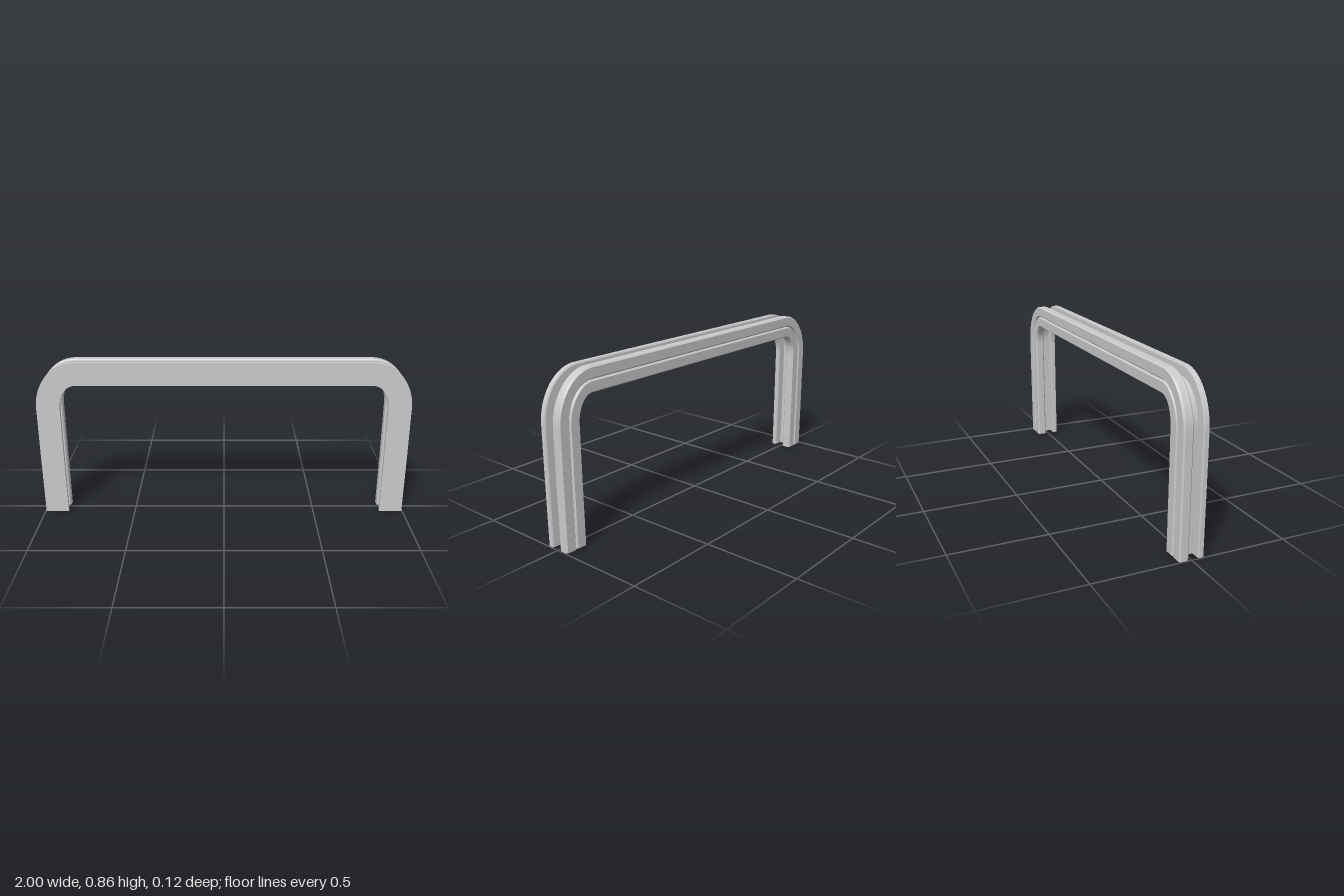
import * as THREE from 'three';

// Half cross-section: [offset from centreline, z], running front -> back.
const HALF = [
  [0.0625, 0.0625], [0.0625, 0.041], [0.056, 0.037], [0.0125, 0.035],
  [0.0125, -0.004], [0.018, -0.0125], [0.056, -0.0125], [0.0625, -0.019],
  [0.0625, -0.055], [0.056, -0.0625], [0.008, -0.0625], [0, -0.054],
];

// Closed section: outer half, then the mirrored inner half.
function section() {
  const inner = HALF.slice(0, -1).reverse().map(([o, z]) => [-o, z]);
  return [...HALF, ...inner];
}

// Stations along the arch: centre point (x, y) and outward direction (nx, ny).
function stations(steps = 14) {
  const right = [
    { x: 0.9335, y: 0, nx: 1, ny: 0 },
    { x: 0.9365, y: 0.33, nx: 1, ny: 0 },
  ];
  for (let i = 0; i <= steps; i++) {
    const a = (i / steps) * Math.PI / 2;
    const nx = Math.cos(a), ny = Math.sin(a);
    right.push({ x: 0.79 + 0.1475 * nx, y: 0.61 + 0.1875 * ny, nx, ny });
  }
  const left = right.map((s) => ({ ...s, x: -s.x, nx: -s.nx })).reverse();
  return [...right, ...left];
}

// Sweep the section; every strip has its own vertices, so profile edges
// stay sharp while the bends are smooth. The leg ends are open.
function sweep(profile, path) {
  const pos = [], index = [];
  profile.forEach((p, j) => {
    const q = profile[(j + 1) % profile.length];
    const base = pos.length / 3;
    path.forEach((s, i) => {
      for (const [o, z] of [p, q]) pos.push(s.x + o * s.nx, s.y + o * s.ny, z);
      if (i === path.length - 1) return;
      const a = base + 2 * i;
      index.push(a, a + 1, a + 2, a + 1, a + 3, a + 2);
    });
  });
  const geo = new THREE.BufferGeometry();
  geo.setAttribute('position', new THREE.Float32BufferAttribute(pos, 3));
  geo.setIndex(index);
  geo.computeVertexNormals();
  return geo;
}

export function createModel() {
  const group = new THREE.Group();
  group.name = 'archFrame';
  const material = new THREE.MeshStandardMaterial({ color: 0xcccccc, side: THREE.DoubleSide });
  const rail = new THREE.Mesh(sweep(section(), stations()), material);
  rail.name = 'groovedRail';
  group.add(rail);
  return group;
}
